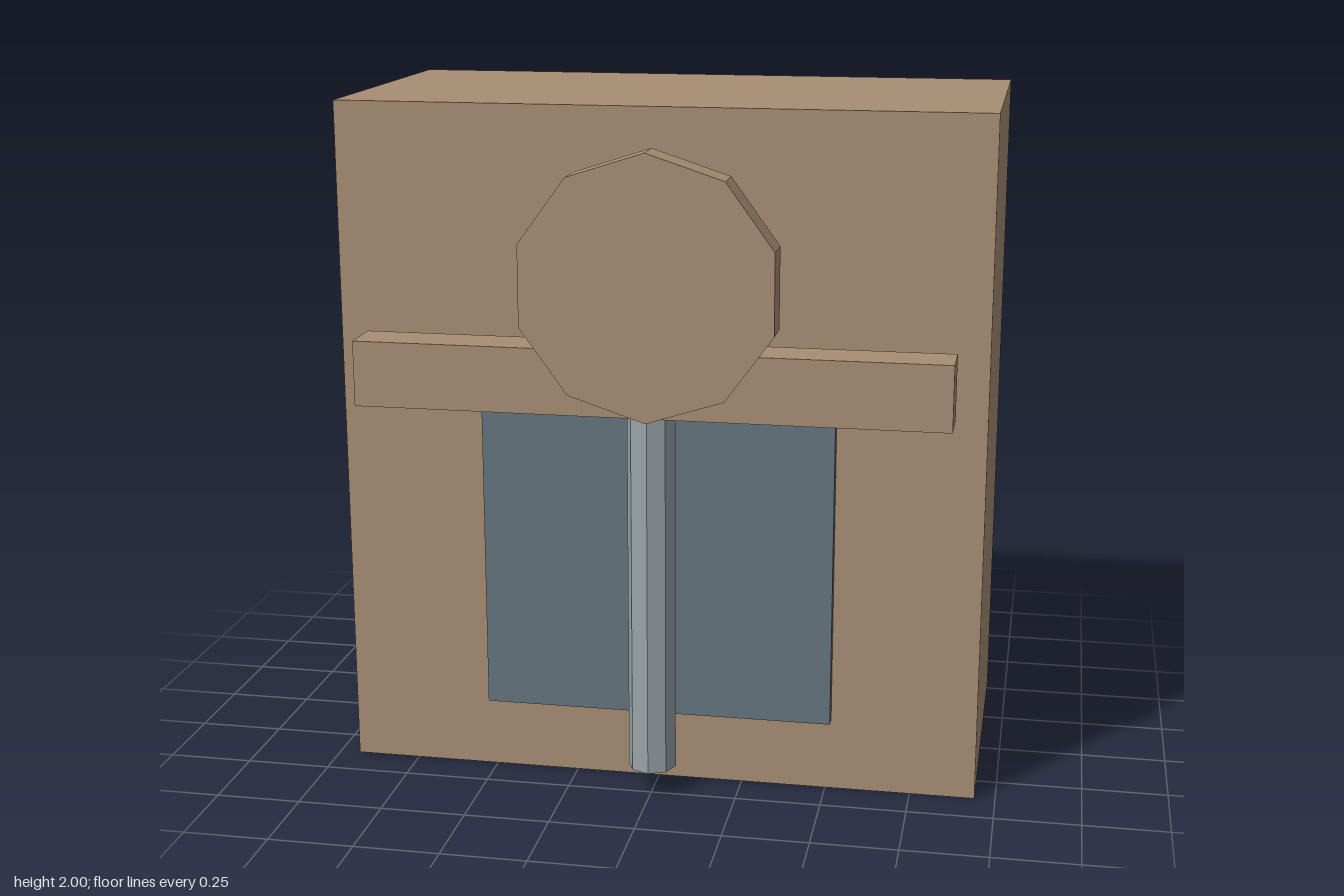
import * as THREE from 'three';

const material = (name, color) => {
  const m = new THREE.MeshStandardMaterial({ color, flatShading: true });
  m.name = name;
  return m;
};

export function createModel() {
  const group = new THREE.Group();
  const tan = material('tan', 0xa88e74);
  const slate = material('slate', 0x65757e);
  const steel = material('steel', 0x99a4a9);

  const add = (name, geometry, mat, x, y, z) => {
    const mesh = new THREE.Mesh(geometry, mat);
    mesh.name = name;
    mesh.position.set(x, y, z);
    group.add(mesh);
  };

  // Main block, standing on the ground
  add('body', new THREE.BoxGeometry(1.88, 2, 0.94), tan, 0, 1, -0.095);

  // Raised panel on the front face
  add('frontPanel', new THREE.BoxGeometry(1.03, 0.935, 0.035), slate, 0, 0.6825, 0.3925);

  // Crossbar above the panel
  add('crossbar', new THREE.BoxGeometry(1.7, 0.19, 0.14), tan, 0, 1.245, 0.48);

  // Eight-sided upright post
  add('post', new THREE.CylinderGeometry(0.07, 0.07, 1.42, 8), steel, 0, 0.79, 0.48);

  // Ten-sided disc, facing forward with a corner at the top
  const disc = new THREE.CylinderGeometry(0.378, 0.378, 0.105, 10).rotateX(Math.PI / 2);
  add('disc', disc, tan, 0, 1.518, 0.5125);

  return group;
}
